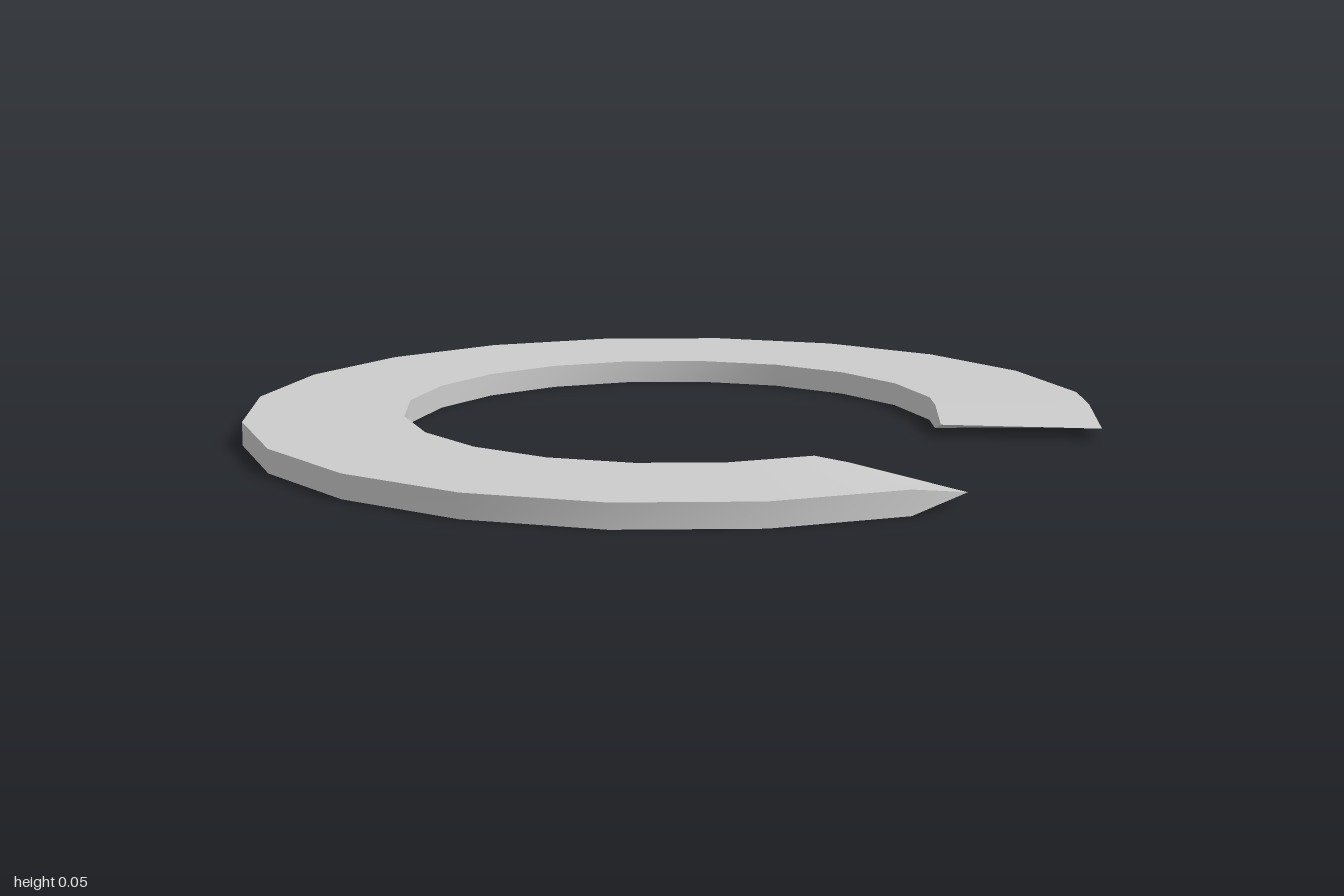
import * as THREE from 'three';
import { toCreasedNormals } from 'three/addons/utils/BufferGeometryUtils.js';

const INNER = 0.63, OUTER = 1, HEIGHT = 0.055, CENTER_Z = 0.012;
const STEP = Math.PI / 10; // 20-sided ring

// Point on the polygonal ring; k counts sides from +z towards +x, half values lie mid-side
function ringPoint(radius, k, y) {
  const a = Math.floor(k) * STEP, b = Math.ceil(k) * STEP;
  return new THREE.Vector3(
    radius * (Math.sin(a) + Math.sin(b)) / 2,
    y,
    radius * (Math.cos(a) + Math.cos(b)) / 2 + CENTER_Z
  );
}

// Cross-section: inner bottom, outer bottom, outer top, inner top
function section(k, tip) {
  const lo = tip ? HEIGHT / 2 : 0, hi = tip ? HEIGHT / 2 : HEIGHT;
  return [
    ringPoint(INNER, k, lo), ringPoint(OUTER, k, lo),
    ringPoint(OUTER, k, hi), ringPoint(INNER, k, hi)
  ];
}

function openRingGeometry() {
  // Wedge tip, start of full thickness, whole sides, wedge tip
  const sections = [section(2, true), section(2.5, false)];
  for (let k = 3; k <= 19; k++) sections.push(section(k, false));
  sections.push(section(19.5, true));

  const positions = [];
  const triangle = (a, b, c) => {
    // Leave out the collapsed triangles at the tips
    if (a.equals(b) || b.equals(c) || c.equals(a)) return;
    for (const p of [a, b, c]) positions.push(p.x, p.y, p.z);
  };
  for (let i = 0; i < sections.length - 1; i++) {
    const s = sections[i], t = sections[i + 1];
    for (let j = 0; j < 4; j++) {
      const n = (j + 1) % 4;
      triangle(s[j], t[j], t[n]);
      triangle(s[j], t[n], s[n]);
    }
  }
  const geometry = new THREE.BufferGeometry();
  geometry.setAttribute('position', new THREE.Float32BufferAttribute(positions, 3));
  return toCreasedNormals(geometry, 0.6);
}

export function createModel() {
  const group = new THREE.Group();
  group.name = 'openRing';
  const ring = new THREE.Mesh(
    openRingGeometry(),
    new THREE.MeshStandardMaterial({ color: 0xcccccc })
  );
  ring.name = 'ringBand';
  group.add(ring);
  return group;
}
